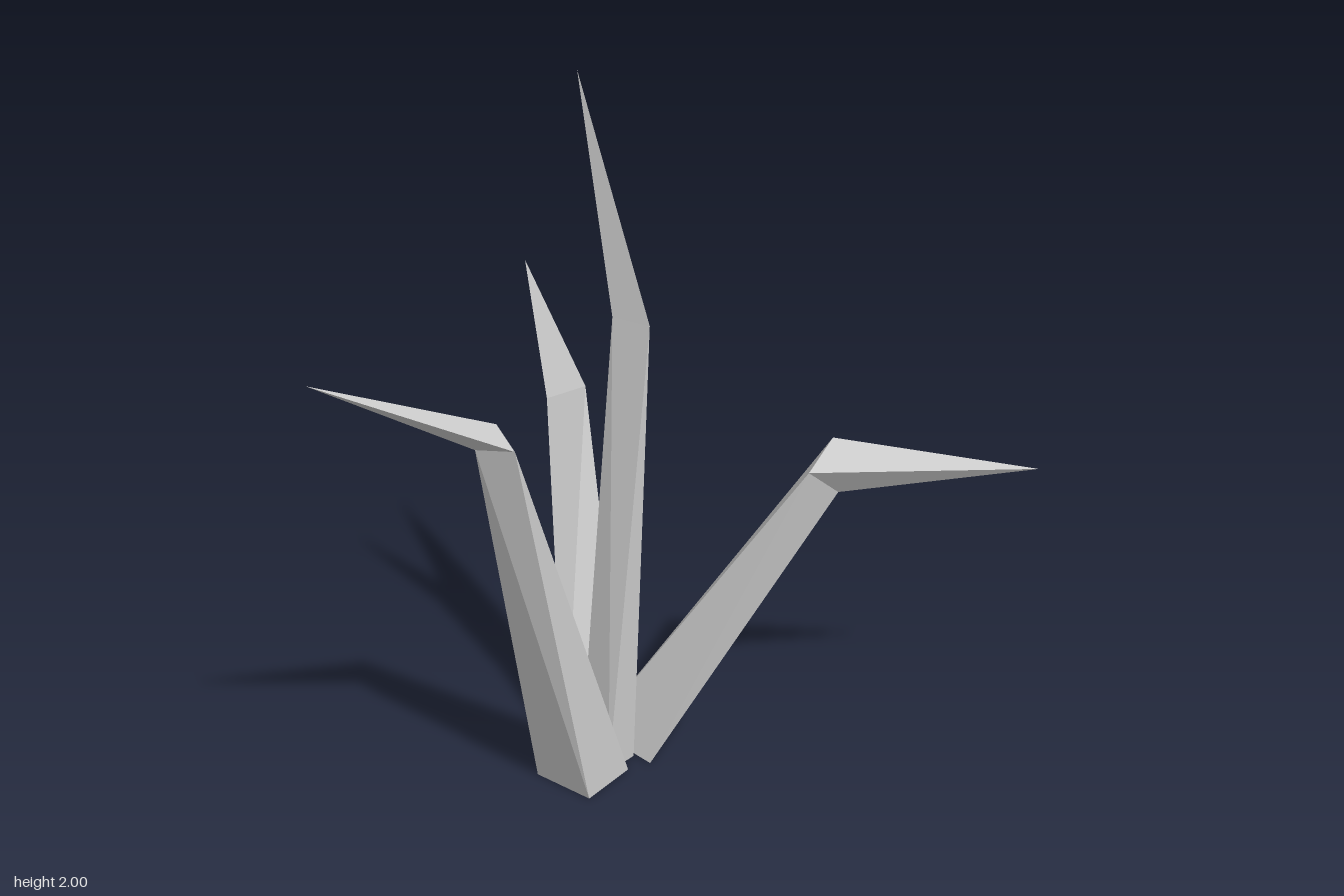
import * as THREE from 'three';
import { ConvexGeometry } from 'three/addons/geometries/ConvexGeometry.js';

const material = new THREE.MeshStandardMaterial({
  color: 0xcccccc, flatShading: true, side: THREE.DoubleSide,
});

// Faceted solid spanning a handful of corner points
function facet(name, points) {
  const corners = points.map((p) => new THREE.Vector3(...p));
  const mesh = new THREE.Mesh(new ConvexGeometry(corners), material);
  mesh.name = name;
  return mesh;
}

// One leaf: a stalk from the ground section to the bend, then a pointed end
function leaf({ name, base, bend, tip }) {
  const group = new THREE.Group();
  group.name = name;
  const foot = base.map(([x, z]) => [x, 0, z]);
  group.add(facet('leafStalk', [...foot, ...bend]));
  group.add(facet('leafTip', [...bend, tip]));
  return group;
}

// base: [x, z] on the ground; bend and tip: [x, y, z]
const leaves = [
  {
    name: 'frontLeaf',
    base: [[0.03, 0.15], [0.24, 0.05], [0.03, -0.1]],
    bend: [[0.36, 0.92, 0.42], [0.48, 0.83, 0.43], [0.53, 0.96, 0.36]],
    tip: [0.93, 0.88, 0.78],
  },
  {
    name: 'sideLeaf',
    base: [[-0.22, 0.16], [-0.04, 0.13], [-0.03, -0.04], [-0.25, -0.03]],
    bend: [[-0.48, 1.15, 0.185], [-0.445, 1.18, 0.07], [-0.53, 1.14, 0.09]],
    tip: [-0.93, 1.38, -0.02],
  },
  {
    name: 'backLeaf',
    base: [[-0.145, -0.03], [0, -0.15], [0, 0.09]],
    bend: [[0.12, 0.97, -0.4], [0.185, 1.02, -0.3], [0.235, 0.97, -0.39]],
    tip: [0.36, 1.27, -0.78],
  },
  {
    name: 'uprightLeaf',
    base: [[-0.1, -0.01], [-0.09, 0.1], [0.02, 0.09], [0.03, -0.02]],
    bend: [[0, 1.36, 0.16], [0.045, 1.4, 0.045], [-0.04, 1.37, 0.06]],
    tip: [-0.06, 2, -0.05],
  },
];

export function createModel() {
  const plant = new THREE.Group();
  plant.name = 'plant';
  for (const spec of leaves) plant.add(leaf(spec));
  return plant;
}
